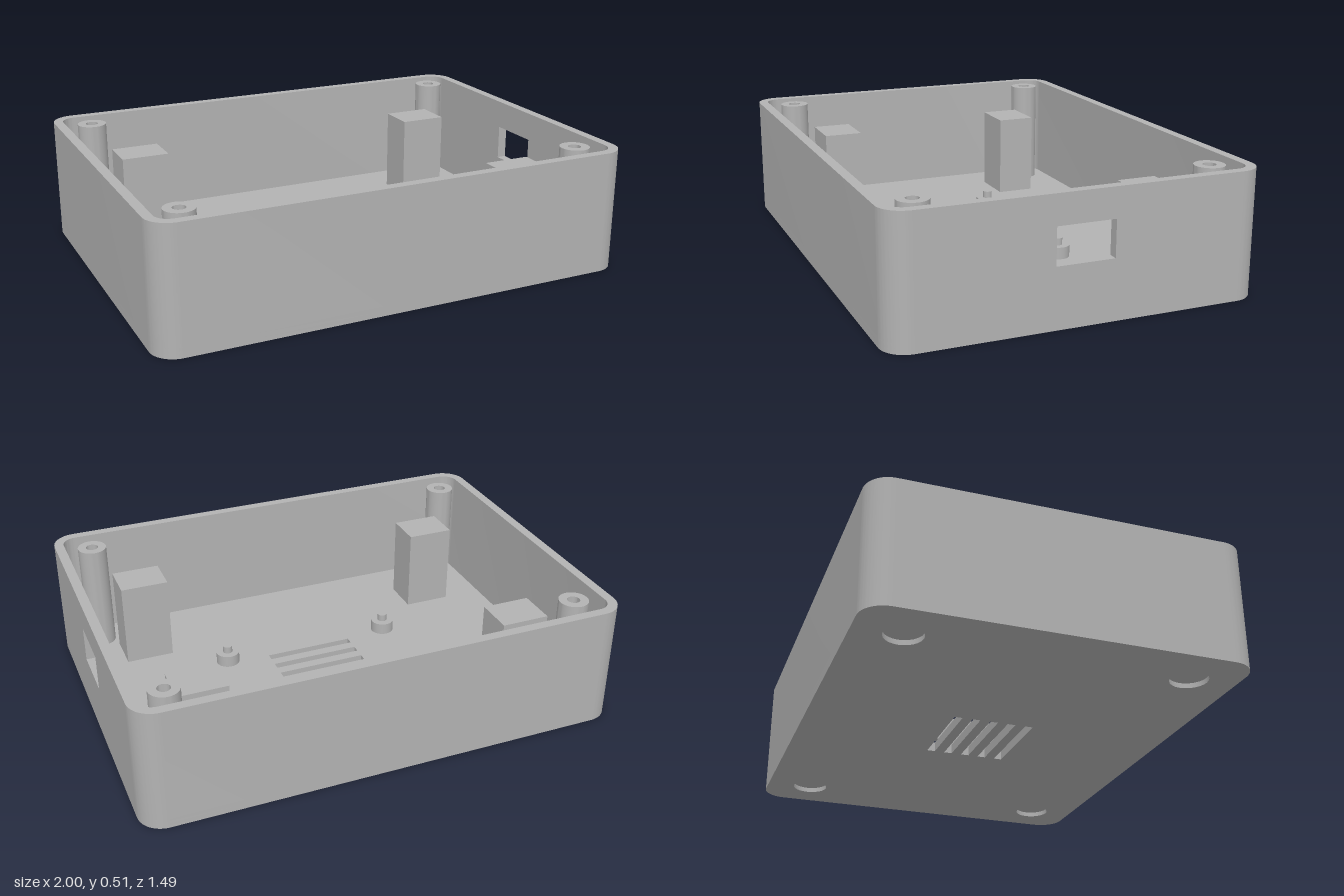
import * as THREE from 'three';
import { toCreasedNormals } from 'three/addons/utils/BufferGeometryUtils.js';

const HX = 1, HZ = 0.745, H = 0.51;   // outer half sizes and height
const WALL = 0.04, R = 0.1, FLOOR = 0.04, RECESS = 0.02;
const CX = HX - R, CZ = HZ - R;       // corner arc centres

export function createModel() {
  const group = new THREE.Group();
  const grey = new THREE.MeshStandardMaterial({ color: 0xb3b3b3 });
  grey.name = 'grey plastic';

  function add(name, geometry, x = 0, y = 0, z = 0) {
    const mesh = new THREE.Mesh(geometry, grey);
    mesh.name = name;
    mesh.position.set(x, y, z);
    group.add(mesh);
    return mesh;
  }
  // Extrude a plan shape upwards, with smooth curves and sharp edges
  function extrude(shape, depth, curveSegments = 12) {
    const g = new THREE.ExtrudeGeometry(shape, { depth, bevelEnabled: false, curveSegments });
    return toCreasedNormals(g, 0.6);
  }
  const extrudeUp = (shape, depth, seg) => extrude(shape, depth, seg).rotateX(-Math.PI / 2);

  function rect(path, w, h, x = 0, y = 0) {
    path.moveTo(x - w / 2, y - h / 2);
    path.lineTo(x + w / 2, y - h / 2);
    path.lineTo(x + w / 2, y + h / 2);
    path.lineTo(x - w / 2, y + h / 2);
    path.closePath();
    return path;
  }
  function circle(path, x, y, r) {
    path.absarc(x, y, r, 0, Math.PI * 2, false);
    return path;
  }
  // The four mirrored positions
  const corners = (x, z, fn) => {
    for (const sx of [-1, 1]) for (const sz of [-1, 1]) fn(sx * x, sz * z);
  };
  const Q = Math.PI / 2;

  // Floor plate with ventilation slots
  function floorShape() {
    const s = new THREE.Shape();
    s.absarc(CX, CZ, R, 0, Q, false);
    s.absarc(-CX, CZ, R, Q, 2 * Q, false);
    s.absarc(-CX, -CZ, R, 2 * Q, 3 * Q, false);
    s.absarc(CX, -CZ, R, 3 * Q, 4 * Q, false);
    s.closePath();
    for (let i = -2; i <= 2; i++) s.holes.push(rect(new THREE.Path(), 0.382, 0.034, 0, i * 0.076));
    return s;
  }
  // Lower layer also has round recesses for feet
  const lower = floorShape();
  corners(0.81, 0.555, (x, z) => lower.holes.push(circle(new THREE.Path(), x, z, 0.075)));
  add('lowerFloor', extrudeUp(lower, RECESS));
  add('upperFloor', extrudeUp(floorShape(), FLOOR - RECESS), 0, RECESS, 0);

  // Walls on three sides, with all four rounded corners
  const walls = new THREE.Shape();
  const r = R - WALL;
  walls.absarc(CX, CZ, R, 0, Q, false);
  walls.absarc(-CX, CZ, R, Q, 2 * Q, false);
  walls.absarc(-CX, -CZ, R, 2 * Q, 3 * Q, false);
  walls.absarc(CX, -CZ, R, 3 * Q, 4 * Q, false);
  walls.absarc(CX, -CZ, r, 4 * Q, 3 * Q, true);
  walls.absarc(-CX, -CZ, r, 3 * Q, 2 * Q, true);
  walls.absarc(-CX, CZ, r, 2 * Q, Q, true);
  walls.absarc(CX, CZ, r, Q, 0, true);
  walls.closePath();
  add('walls', extrudeUp(walls, H - FLOOR), 0, FLOOR, 0);

  // Left side wall with the connector opening
  const side = rect(new THREE.Shape(), CZ * 2, H - FLOOR, 0, (H + FLOOR) / 2);
  side.holes.push(rect(new THREE.Path(), 0.235, 0.148, 0, 0.316));
  add('portWall', extrude(side, WALL).rotateY(Q), HX - WALL, 0, 0);

  // Hollow screw posts in the corners
  const ring = circle(new THREE.Shape(), 0, 0, 0.061);
  ring.holes.push(circle(new THREE.Path(), 0, 0, 0.026));
  const postGeometry = extrudeUp(ring, 0.505 - FLOOR, 24);
  corners(0.848, 0.593, (x, z) => add('screwPost', postGeometry, x, FLOOR, z));

  // Support blocks
  const blockGeometry = new THREE.BoxGeometry(0.203, 0.4 - FLOOR, 0.165);
  corners(0.684, 0.433, (x, z) => add('supportBlock', blockGeometry, x, (0.4 + FLOOR) / 2, z));

  // Board standoffs with locating pins
  const standoffGeometry = new THREE.CylinderGeometry(0.05, 0.05, 0.05, 32);
  const pinGeometry = new THREE.CylinderGeometry(0.02, 0.02, 0.03, 24);
  corners(0.373, 0.195, (x, z) => {
    add('standoff', standoffGeometry, x, FLOOR + 0.025, z);
    add('locatingPin', pinGeometry, x, FLOOR + 0.065, z);
  });

  return group;
}
